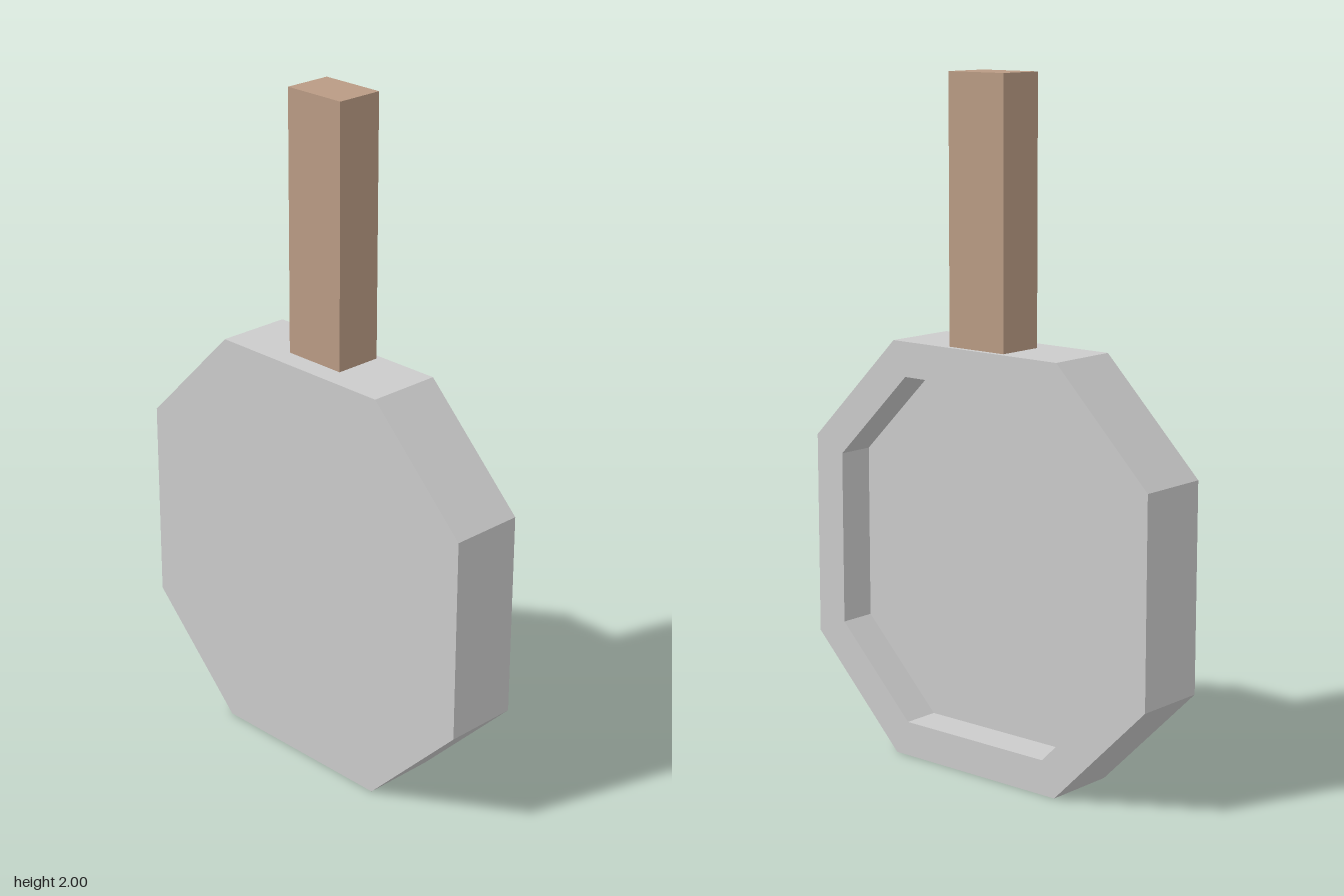
import * as THREE from 'three';

// Octagon with flat sides: half = half width, flat = half length of each straight side
function octagon(half, flat, Type = THREE.Shape) {
  const corners = [
    [flat, -half], [half, -flat], [half, flat], [flat, half],
    [-flat, half], [-half, flat], [-half, -flat], [-flat, -half],
  ];
  return new Type(corners.map(([x, y]) => new THREE.Vector2(x, y)));
}

export function createModel() {
  const model = new THREE.Group();
  model.name = 'pan';
  const metal = new THREE.MeshStandardMaterial({ color: 0xcccccc, flatShading: true });
  const wood = new THREE.MeshStandardMaterial({ color: 0xb99b84, flatShading: true });
  const centreY = 0.617;
  const halfDepth = 0.112;

  function add(name, geometry, material, y, z) {
    const mesh = new THREE.Mesh(geometry, material);
    mesh.name = name;
    mesh.position.set(0, y, z);
    model.add(mesh);
  }

  // Solid base plate, whose front is the floor of the recess
  const plate = { depth: halfDepth, bevelEnabled: false };
  add('base', new THREE.ExtrudeGeometry(octagon(0.617, 0.302), plate), metal, centreY, -halfDepth);

  // Raised rim around the recess
  const rim = octagon(0.617, 0.302);
  rim.holes.push(octagon(0.515, 0.257, THREE.Path));
  add('rim', new THREE.ExtrudeGeometry(rim, plate), metal, centreY, 0);

  // Square-cut handle, set slightly towards the rim side
  const bottom = 1.2, top = 2;
  add('handle', new THREE.BoxGeometry(0.2, top - bottom, 0.144), wood, (top + bottom) / 2, 0.024);

  // The recess looks to the +x side, turned a little to the back
  model.rotation.y = THREE.MathUtils.degToRad(110);
  const group = new THREE.Group();
  group.add(model);
  return group;
}
